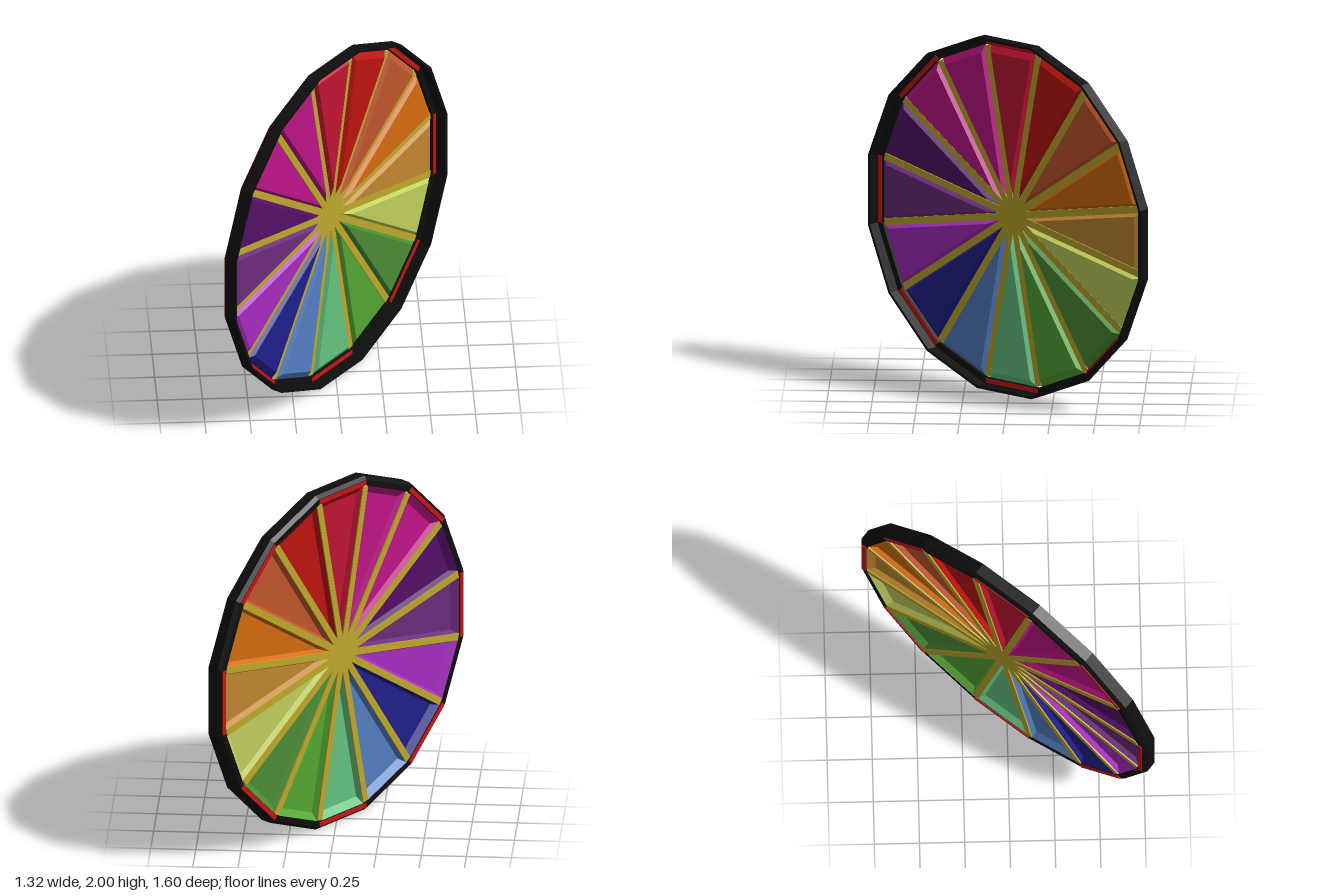
import * as THREE from 'three';

const SIDES = 16;
const HALF = Math.PI / SIDES;      // half the angle of one sector
const mat = (color, side = THREE.FrontSide) =>
  new THREE.MeshStandardMaterial({ color, side, flatShading: true });

// wedge outline pointing at the hub: outer edge at "apothem", sides inset by "inset"
function wedge(apothem, inset, z) {
  const w = apothem * Math.tan(HALF) - inset / Math.cos(HALF);
  return [[0, inset / Math.sin(HALF), z], [w, apothem, z], [-w, apothem, z]];
}

// raised wedge tray, open at the back
function panelGeometry() {
  const base = wedge(0.95, 0.018, -0.04);
  const top = wedge(0.91, 0.036, -0.01);
  const tris = [...top];
  for (let k = 0; k < 3; k++) {
    const n = (k + 1) % 3;
    tris.push(base[k], base[n], top[n], base[k], top[n], top[k]);
  }
  const geo = new THREE.BufferGeometry();
  geo.setAttribute('position', new THREE.Float32BufferAttribute(tris.flat(), 3));
  geo.computeVertexNormals();
  return geo;
}

// sixteen-sided rim with a flange at the back and a chamfered rear edge
function rimGeometry() {
  const profile = [
    [0.95, -0.043], [0.982, -0.043], [1, -0.022], [1, 0.043],
    [0.985, 0.043], [0.985, -0.021], [0.95, -0.021], [0.95, -0.043],
  ].map(([r, z]) => new THREE.Vector2(r / Math.cos(HALF), z));
  return new THREE.LatheGeometry(profile, SIDES, HALF).rotateX(Math.PI / 2);
}

export function createModel() {
  const model = new THREE.Group();
  model.name = 'colourWheel';

  const wheel = new THREE.Group();
  wheel.name = 'wheel';
  wheel.position.y = 1;
  wheel.rotation.y = 0.89;
  model.add(wheel);

  const add = (name, geo, material, angle = 0) => {
    const mesh = new THREE.Mesh(geo, material);
    mesh.name = name;
    mesh.rotation.z = -angle;
    wheel.add(mesh);
  };

  add('rim', rimGeometry(), mat(0x0e0e0e));

  // panel colours, clockwise from the top
  const colors = [
    0xc21433, 0xbe1410, 0xc2562c, 0xd66c0e, 0xc28830, 0xc2d05c, 0x4a8e34, 0x54a834,
    0x66c482, 0x5480c4, 0x20208e, 0xa82cc2, 0x6c2c7c, 0x540f68, 0xc2148a, 0xc01486,
  ];
  const panel = panelGeometry();
  const spoke = new THREE.BoxGeometry(0.04, 0.96, 0.014).translate(0, 0.48, -0.037);
  const gold = mat(0xc0aa2c);
  colors.forEach((color, i) => {
    add('panel', panel, mat(color, THREE.DoubleSide), i * 2 * HALF);
    add('spoke', spoke, gold, (i * 2 + 1) * HALF);
  });

  // red bars on every other side of the flange
  const bar = new THREE.BoxGeometry(0.38, 0.026, 0.029).translate(0, 0.966, -0.0325);
  const red = mat(0xc81414);
  for (let i = 0; i < SIDES; i += 2) add('redBar', bar, red, i * 2 * HALF);

  return model;
}
